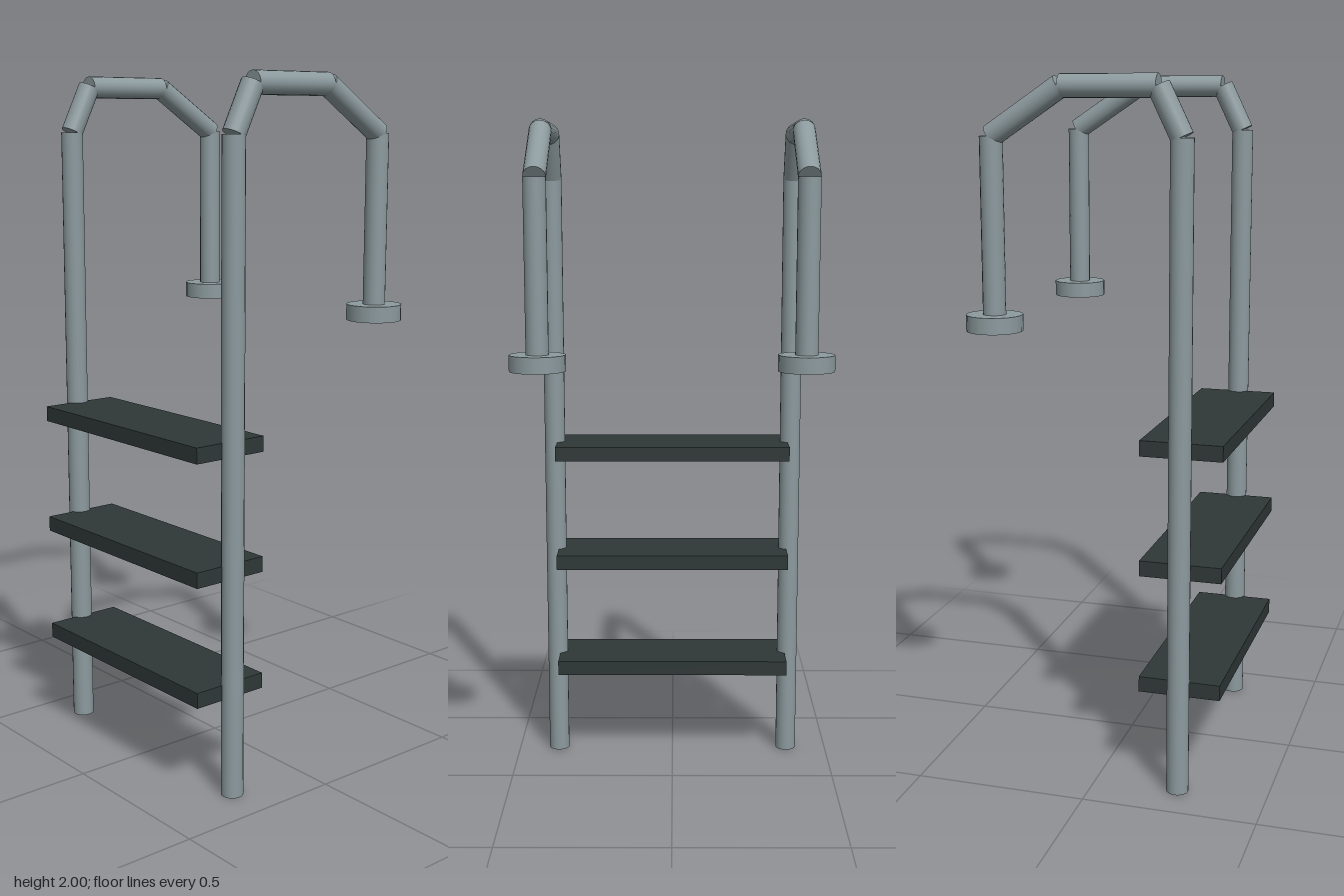
import * as THREE from 'three';

export function createModel() {
  const model = new THREE.Group();
  model.name = 'poolLadder';

  const steel = new THREE.MeshStandardMaterial({ color: 0x8c9a9e });
  steel.name = 'brushed steel';
  const tread = new THREE.MeshStandardMaterial({ color: 0x2f3837 });
  tread.name = 'dark tread';

  const railX = 0.372, pipeRadius = 0.032, up = new THREE.Vector3(0, 1, 0);

  // Straight pipe between two [y, z] points
  function pipe(name, [y0, z0], [y1, z1]) {
    const a = new THREE.Vector3(0, y0, z0), b = new THREE.Vector3(0, y1, z1);
    const dir = b.clone().sub(a);
    const mesh = new THREE.Mesh(new THREE.CylinderGeometry(pipeRadius, pipeRadius, dir.length(), 18), steel);
    mesh.name = name;
    mesh.position.copy(a).add(b).multiplyScalar(0.5);
    mesh.quaternion.setFromUnitVectors(up, dir.normalize());
    return mesh;
  }

  // Rails: front post, three-piece arch, rear post and deck flange
  const path = [[0, 0.244], [1.837, 0.244], [1.968, 0.18], [1.968, -0.088], [1.837, -0.286], [1.33, -0.286]];
  const names = ['frontPost', 'archFront', 'archTop', 'archBack', 'rearPost'];
  for (const side of [-1, 1]) {
    const rail = new THREE.Group();
    rail.name = side > 0 ? 'leftRail' : 'rightRail';
    rail.position.x = side * railX;
    names.forEach((name, i) => rail.add(pipe(name, path[i], path[i + 1])));

    const flangeGeo = new THREE.CylinderGeometry(0.079, 0.079, 0.046, 18);
    const flange = new THREE.Mesh(flangeGeo, steel);
    flange.name = 'deckFlange';
    flange.position.set(0, 1.332, -0.286);
    rail.add(flange);
    model.add(rail);
  }

  // Treads between the front posts
  const stepGeo = new THREE.BoxGeometry(0.726, 0.045, 0.236);
  [0.308, 0.654, 1.0].forEach((y, i) => {
    const step = new THREE.Mesh(stepGeo, tread);
    step.name = `step${i + 1}`;
    step.position.set(0, y, 0.244);
    model.add(step);
  });

  return model;
}
